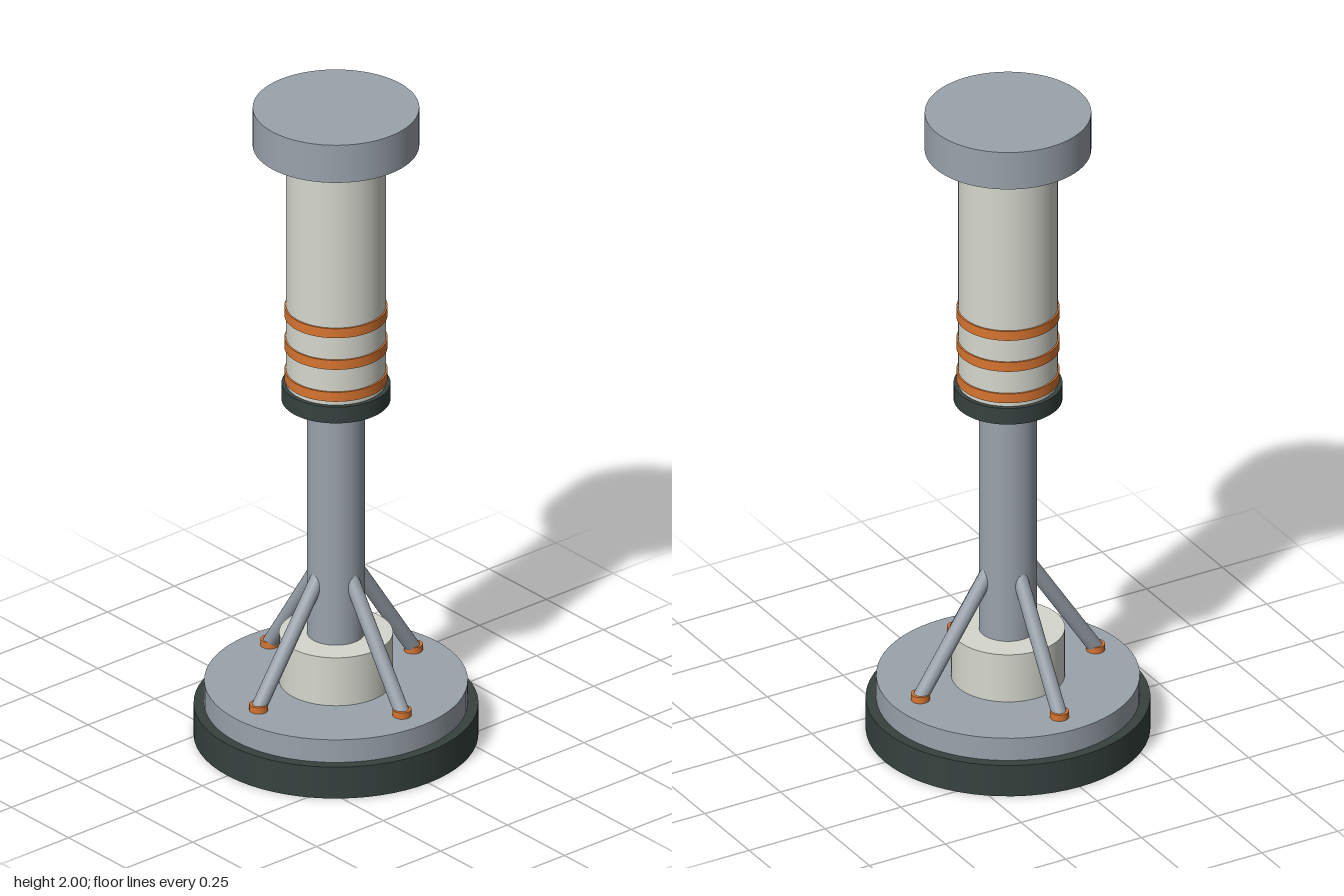
import * as THREE from 'three';

const material = (name, color) => {
  const m = new THREE.MeshStandardMaterial({ color });
  m.name = name;
  return m;
};

export function createModel() {
  const model = new THREE.Group();
  model.name = 'pistonStand';
  const steel = material('steelGrey', 0x9aa3ac);
  const dark = material('darkRubber', 0x36423f);
  const white = material('offWhite', 0xd6d8ce);
  const orange = material('orange', 0xd87530);

  // Upright cylinder between two heights
  const disc = (name, radius, y0, y1, mat, x = 0, z = 0, segments = 64) => {
    const mesh = new THREE.Mesh(new THREE.CylinderGeometry(radius, radius, y1 - y0, segments), mat);
    mesh.name = name;
    mesh.position.set(x, (y0 + y1) / 2, z);
    model.add(mesh);
  };

  // Base
  disc('basePad', 0.405, 0, 0.1, dark);
  disc('basePlate', 0.375, 0.1, 0.172, steel);
  disc('columnSocket', 0.162, 0.172, 0.325, white);

  // Column, sleeve and cap
  disc('column', 0.083, 0.325, 1.07, steel);
  disc('collar', 0.155, 1.07, 1.122, dark);
  disc('sleeve', 0.142, 1.122, 1.88, white);
  disc('cap', 0.237, 1.88, 2, steel);

  // Painted bands around the sleeve
  for (const y of [1.15, 1.252, 1.353]) disc('sleeveBand', 0.147, y - 0.015, y + 0.015, orange);

  // Four braces leaning on the column, each on a small foot
  const up = new THREE.Vector3(0, 1, 0);
  for (let i = 0; i < 4; i++) {
    const a = (i * Math.PI) / 2;
    const at = (r, y) => new THREE.Vector3(Math.cos(a) * r, y, Math.sin(a) * r);
    const low = at(0.289, 0.18);
    const high = at(0.06, 0.53);
    const axis = high.clone().sub(low);
    const brace = new THREE.Mesh(new THREE.CylinderGeometry(0.022, 0.022, axis.length(), 24), steel);
    brace.name = 'brace';
    brace.position.copy(low).add(high).multiplyScalar(0.5);
    brace.quaternion.setFromUnitVectors(up, axis.normalize());
    model.add(brace);
    disc('braceFoot', 0.027, 0.172, 0.192, orange, Math.cos(a) * 0.289, Math.sin(a) * 0.289, 24);
  }
  return model;
}
